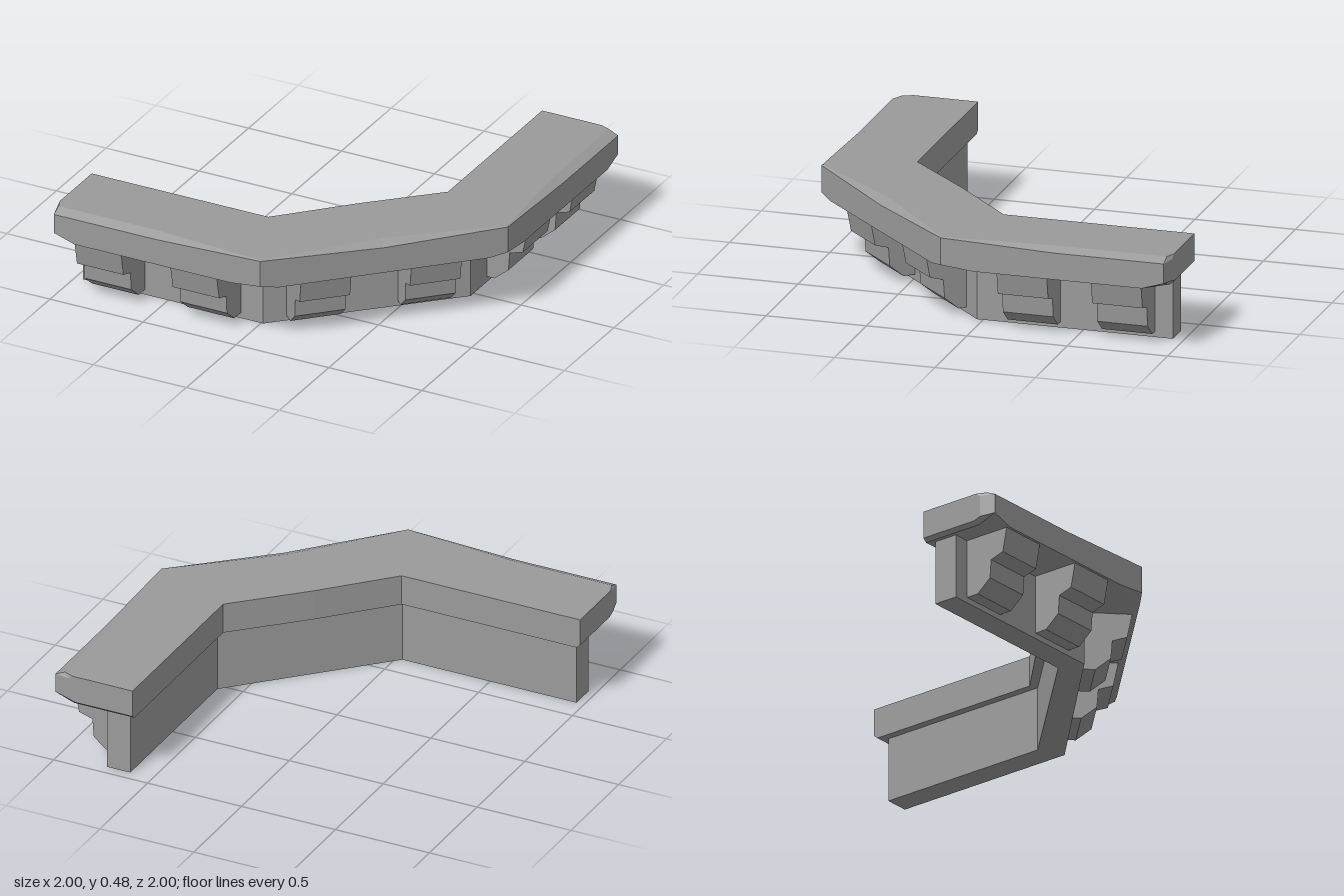
import * as THREE from 'three';

const material = new THREE.MeshStandardMaterial({ color: 0x9a9a9a, flatShading: true });
const TOP = 0.48, UNDER = 0.325;

// Half of the ledge, from the left end to the middle of the diagonal.
// Each station: inner, ridge, outer and underside points [x, z],
// outer edge top and bottom heights, underside height
const halfStations = [
  // Chipped end
  { inner: [-1, 0.58], ridge: [-1, 0.9], outer: [-1, 0.925], under: [-1, 0.89], high: 0.462, low: 0.355, floor: 0.342 },
  { inner: [-0.98, 0.58], ridge: [-0.98, 0.95], outer: [-0.98, 1], under: [-0.98, 0.9], high: 0.458, low: 0.36, floor: UNDER },
  // Straight arm
  { inner: [-0.87, 0.58], ridge: [-0.87, 0.95], outer: [-0.87, 1], under: [-0.87, 0.95], high: 0.458, low: UNDER, floor: UNDER },
  { inner: [-0.43, 0.58], ridge: [-0.43, 0.95], outer: [-0.43, 1], under: [-0.43, 0.95], high: 0.458, low: UNDER, floor: UNDER },
  // Corner with a chipped lower tip
  { inner: [-0.12, 0.58], ridge: [-0.03, 0.981], outer: [-0.03, 1], under: [-0.03, 0.95], high: 0.472, low: UNDER, floor: UNDER },
  { inner: [-0.05, 0.58], ridge: [0.127, 0.993], outer: [0.13, 1], under: [0.11, 0.95], high: 0.477, low: 0.342, floor: UNDER },
  { inner: [-0.028, 0.557], ridge: [0.187, 0.923], outer: [0.195, 0.935], under: [0.17, 0.9], high: 0.474, low: UNDER, floor: UNDER },
  // Middle of the diagonal
  { inner: [0.258, 0.258], ridge: [0.525, 0.525], outer: [0.565, 0.565], under: [0.54, 0.54], high: 0.458, low: UNDER, floor: UNDER },
];

// The other arm is the same with x and z swapped
function swapped(s) {
  const swap = ([x, z]) => [z, x];
  return { ...s, inner: swap(s.inner), ridge: swap(s.ridge), outer: swap(s.outer), under: swap(s.under) };
}

function ledgeGeometry() {
  const stations = [...halfStations, ...halfStations.slice(0, -1).reverse().map(swapped)];
  const at = ([x, z], y) => [x, y, z];
  const rings = stations.map((s) => [
    at(s.inner, TOP), at(s.ridge, TOP), at(s.outer, s.high),
    at(s.outer, s.low), at(s.under, s.floor), at(s.inner, s.floor),
  ]);
  const positions = [];
  const triangle = (a, b, c) => positions.push(...a, ...b, ...c);
  const n = rings[0].length;
  for (let s = 0; s < rings.length - 1; s++) {
    for (let i = 0; i < n; i++) {
      const j = (i + 1) % n;
      triangle(rings[s][i], rings[s][j], rings[s + 1][j]);
      triangle(rings[s][i], rings[s + 1][j], rings[s + 1][i]);
    }
  }
  // End caps
  const first = rings[0], last = rings[rings.length - 1];
  for (let i = 1; i < n - 1; i++) {
    triangle(first[0], first[i + 1], first[i]);
    triangle(last[0], last[i], last[i + 1]);
  }
  const geometry = new THREE.BufferGeometry();
  geometry.setAttribute('position', new THREE.Float32BufferAttribute(positions, 3));
  geometry.computeVertexNormals();
  return geometry;
}

// Bent wall under the ledge, extruded up from its plan
function wallGeometry() {
  const plan = [
    [-0.96, 0.745], [0.01, 0.745], [0.745, 0.03], [0.745, -0.945],
    [0.62, -0.945], [0.62, -0.033], [-0.033, 0.62], [-0.96, 0.62],
  ];
  const shape = new THREE.Shape(plan.map(([x, z]) => new THREE.Vector2(x, -z)));
  return new THREE.ExtrudeGeometry(shape, { depth: UNDER, bevelEnabled: false }).rotateX(-Math.PI / 2);
}

// Stepped corbel projecting along +x, centred on its width
function corbelGeometry() {
  const profile = [
    [-0.06, 0.028], [0.04, 0.028], [0.115, 0.09], [0.122, 0.183],
    [0.193, 0.205], [0.217, UNDER], [-0.06, UNDER],
  ];
  const shape = new THREE.Shape(profile.map(([x, y]) => new THREE.Vector2(x, y)));
  const width = 0.25;
  return new THREE.ExtrudeGeometry(shape, { depth: width, bevelEnabled: false }).translate(0, 0, -width / 2);
}

export function createModel() {
  const model = new THREE.Group();
  model.name = 'corneredParapet';

  const add = (geometry, name) => {
    const mesh = new THREE.Mesh(geometry, material);
    mesh.name = name;
    model.add(mesh);
    return mesh;
  };

  add(ledgeGeometry(), 'ledge');
  add(wallGeometry(), 'wall');

  // Two corbels on each of the three wall faces: [x, z, turn]
  const corbel = corbelGeometry();
  const places = [
    [-0.75, 0.77, -Math.PI / 2], [-0.235, 0.77, -Math.PI / 2],
    [0.197, 0.592, -Math.PI / 4], [0.58, 0.197, -Math.PI / 4],
    [0.745, -0.26, 0], [0.745, -0.73, 0],
  ];
  places.forEach(([x, z, turn], i) => {
    const mesh = add(corbel, `corbel${i + 1}`);
    mesh.position.set(x, 0, z);
    mesh.rotation.y = turn;
  });

  return model;
}
